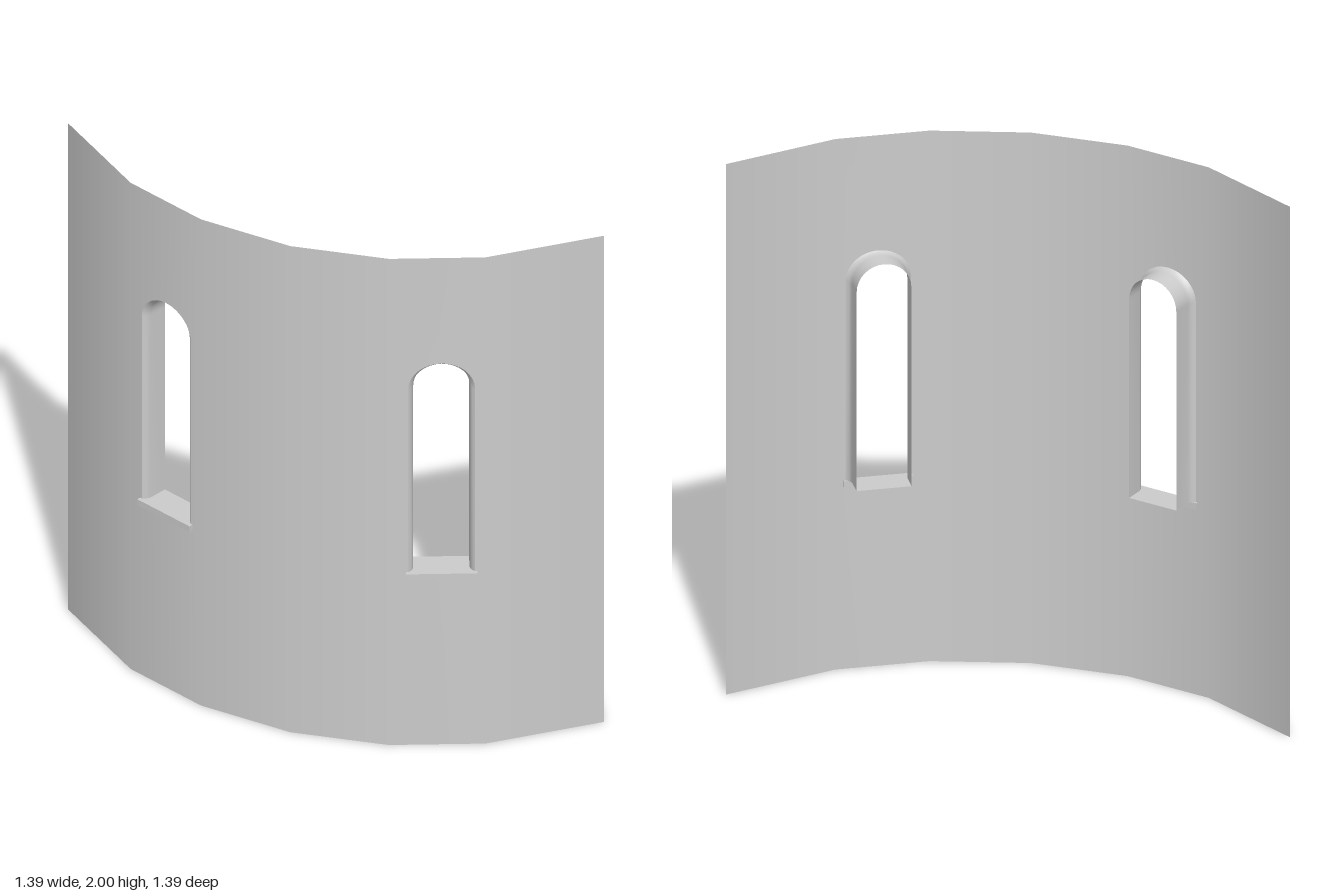
import * as THREE from 'three';

const R = 1.314, H = 2;
// Corners of the faceted wall arc, in degrees from its middle
const STOPS = [-48.4, -29.65, -15.2, 0, 15.2, 29.65, 48.4].map(THREE.MathUtils.degToRad);
const WALL_HALF = 0.115, WALL_RISE = 0.106;
const material = new THREE.MeshStandardMaterial({ color: 0xcccccc, side: THREE.DoubleSide });

// Round-headed opening outline, counter-clockwise from the lower left
function archPoints(half, rise, bottom, spring, shift, steps = 16) {
  const pts = [new THREE.Vector2(shift - half, bottom), new THREE.Vector2(shift + half, bottom)];
  for (let i = 0; i <= steps; i++) {
    const a = (Math.PI * i) / steps;
    pts.push(new THREE.Vector2(shift + half * Math.cos(a), spring + rise * Math.sin(a)));
  }
  return pts;
}

function addMesh(parent, geometry, name) {
  const mesh = new THREE.Mesh(geometry, material);
  mesh.name = name;
  parent.add(mesh);
  return mesh;
}

// One flat wall strip, shaded as part of a smooth curve
function wallPanel(half, apothem, hole) {
  const shape = new THREE.Shape();
  shape.moveTo(-half, 0).lineTo(half, 0).lineTo(half, H).lineTo(-half, H).closePath();
  if (hole) shape.holes.push(new THREE.Path(hole.slice().reverse()));
  const geo = new THREE.ShapeGeometry(shape);
  const p = geo.attributes.position, n = geo.attributes.normal;
  for (let i = 0; i < p.count; i++) {
    const v = new THREE.Vector3(p.getX(i), 0, apothem).normalize();
    n.setXYZ(i, v.x, v.y, v.z);
  }
  return geo;
}

// Strip through matching outlines, smooth along its length
function loft(rings) {
  const pos = [], index = [], count = rings[0].length;
  for (const ring of rings) for (const v of ring) pos.push(v.x, v.y, v.z);
  for (let r = 0; r < rings.length - 1; r++) {
    for (let i = 0; i < count - 1; i++) {
      const a = r * count + i, b = a + 1, d = a + count, c = d + 1;
      index.push(a, b, c, a, c, d);
    }
  }
  const geo = new THREE.BufferGeometry();
  geo.setAttribute('position', new THREE.Float32BufferAttribute(pos, 3));
  geo.setIndex(index);
  geo.computeVertexNormals();
  return geo;
}

// Window lining: flared at the wall face, straight to the inner edge
function addReveal(bay, bottom, spring, shift) {
  const rings = [[WALL_HALF, WALL_RISE, 0], [0.104, 0.1, -0.008], [0.097, 0.097, -0.025], [0.096, 0.096, -0.095]]
    .map(([half, rise, z]) => archPoints(half, rise, bottom, spring, shift)
      .map(q => new THREE.Vector3(q.x, q.y, z)));
  addMesh(bay, loft(rings.map(r => [...r.slice(1), r[0]])), 'windowJambsAndArch');
  addMesh(bay, loft(rings.map(r => r.slice(0, 2))), 'windowFloor');
}

export function createModel() {
  const model = new THREE.Group();
  model.name = 'curvedWall';
  // Arc centre, with the wall bulging towards the front right corner
  const ring = new THREE.Group();
  ring.name = 'wallRing';
  ring.position.set(0.617, 0, -0.617);
  ring.rotation.y = -Math.PI / 4;
  model.add(ring);

  for (let i = 0; i < STOPS.length - 1; i++) {
    const mid = (STOPS[i] + STOPS[i + 1]) / 2, spread = (STOPS[i + 1] - STOPS[i]) / 2;
    const apothem = R * Math.cos(spread), half = R * Math.sin(spread);
    const bay = new THREE.Group();
    bay.rotation.y = -mid;
    bay.position.set(-Math.sin(mid) * apothem, 0, Math.cos(mid) * apothem);
    ring.add(bay);

    const hasWindow = i === 1 || i === 4;
    bay.name = hasWindow ? 'windowBay' : 'plainBay';
    if (!hasWindow) {
      addMesh(bay, wallPanel(half, apothem), 'wallPanel');
      continue;
    }
    // The second window sits slightly higher
    const bottom = i === 1 ? 0.71 : 0.725, spring = bottom + 0.75;
    const shift = i === 1 ? 0.015 : 0.002;
    const hole = archPoints(WALL_HALF, WALL_RISE, bottom, spring, shift);
    addMesh(bay, wallPanel(half, apothem, hole), 'wallPanel');
    addReveal(bay, bottom, spring, shift);
    const sill = addMesh(bay, new THREE.BoxGeometry(0.246, 0.024, 0.022), 'windowSill');
    sill.position.set(shift, bottom - 0.012, 0.003);
  }
  return model;
}
